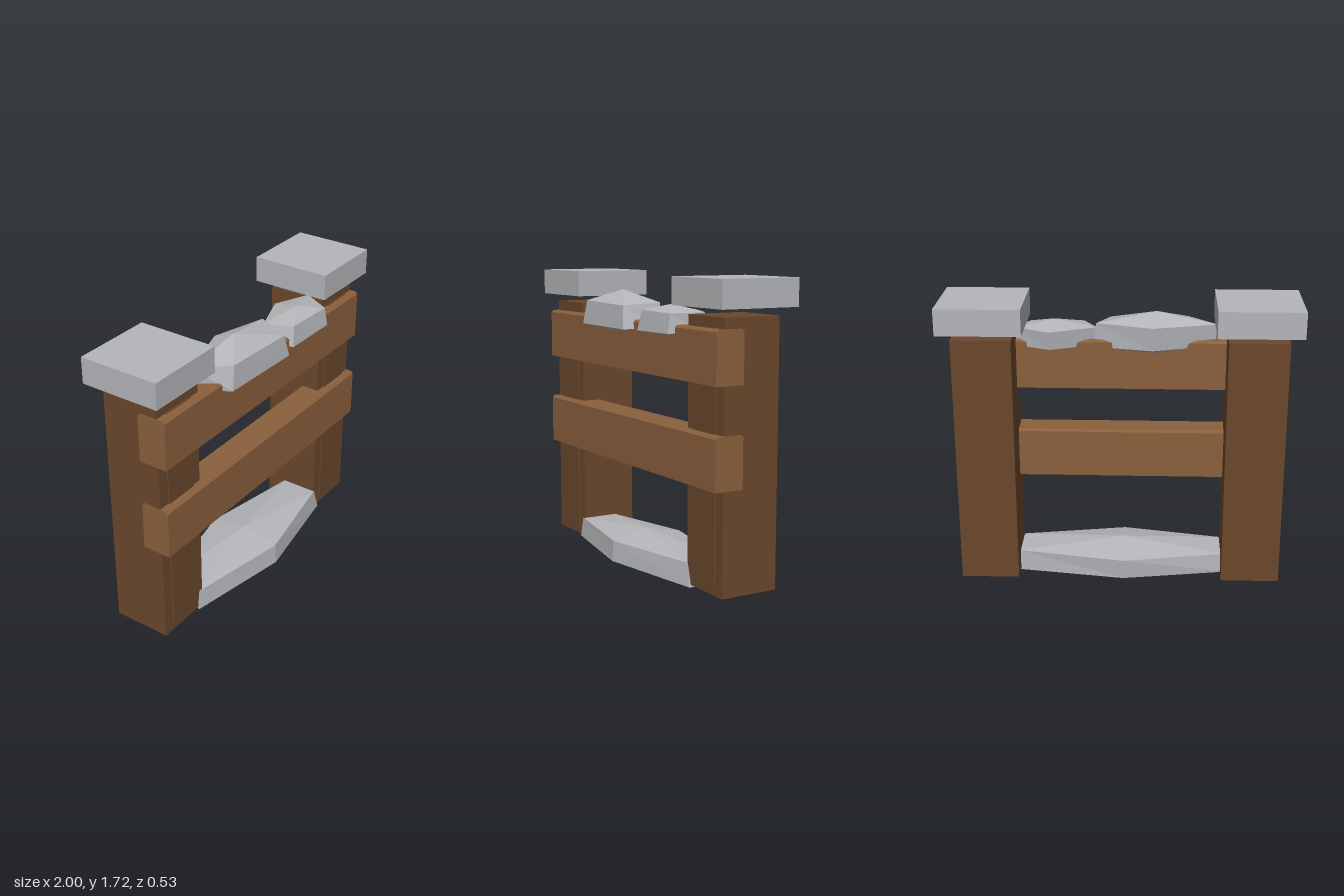
import * as THREE from 'three';

const mat = (name, color) => {
  const m = new THREE.MeshStandardMaterial({ color });
  m.name = name;
  return m;
};

export function createModel() {
  const group = new THREE.Group();
  const darkWood = mat('dark wood', 0x6a472c);
  const lightWood = mat('light wood', 0x8a603c);
  const stone = mat('grey stone', 0xb4b5b9);

  const add = (name, geometry, material) => {
    const mesh = new THREE.Mesh(geometry, material);
    mesh.name = name;
    group.add(mesh);
  };

  // Box given by its minimum and maximum corners
  const box = (name, a, b, material) => {
    const g = new THREE.BoxGeometry(b[0] - a[0], b[1] - a[1], b[2] - a[2]);
    g.translate((a[0] + b[0]) / 2, (a[1] + b[1]) / 2, (a[2] + b[2]) / 2);
    add(name, g, material);
  };

  // Posts with a raised front panel and a floating cap stone
  for (const [side, s] of [['left', 1], ['right', -1]]) {
    const pair = (name, x0, x1, y0, y1, z0, z1, m) =>
      box(side + name, [Math.min(s * x0, s * x1), y0, z0], [Math.max(s * x0, s * x1), y1, z1], m);
    pair('Post', 0.595, 0.93, 0.075, 1.53, -0.2, 0.14, darkWood);
    pair('PostPanel', 0.66, 0.865, 0.125, 1.475, 0.139, 0.149, darkWood);
    pair('CapStone', 0.528, 1, 1.575, 1.725, -0.268, 0.203, stone);
  }

  // Rails: plank section with bevelled upper edges, extruded along x
  const rail = (name, y0, y1) => {
    const z0 = 0.02, z1 = 0.19, c = 0.013;
    const shape = new THREE.Shape([
      [-z1, y0], [-z0, y0], [-z0, y1 - c], [-z0 - c, y1], [-z1 + c, y1], [-z1, y1 - c],
    ].map(([x, y]) => new THREE.Vector2(x, y)));
    const g = new THREE.ExtrudeGeometry(shape, { depth: 1.864, bevelEnabled: false });
    g.translate(0, 0, -0.932).rotateY(Math.PI / 2);
    add(name, g, lightWood);
  };
  rail('upperRail', 1.185, 1.472);
  rail('lowerRail', 0.642, 0.93);

  // Faceted stone: two rings of points (counter-clockwise from above) closed by two tips
  const rock = (name, topTip, upper, lower, bottomTip) => {
    const p = [];
    const n = upper.length;
    for (let i = 0; i < n; i++) {
      const j = (i + 1) % n;
      p.push(topTip, upper[i], upper[j]);
      p.push(upper[i], lower[i], lower[j], upper[i], lower[j], upper[j]);
      p.push(bottomTip, lower[j], lower[i]);
    }
    const g = new THREE.BufferGeometry();
    g.setAttribute('position', new THREE.Float32BufferAttribute(p.flat(), 3));
    g.computeVertexNormals();
    add(name, g, stone);
  };

  rock('baseStone', [-0.02, 0.24, 0.035],
    [[-0.02, 0.187, 0.255], [0.6, 0.19, 0.14], [0.6, 0.19, -0.08], [-0.02, 0.19, -0.195], [-0.62, 0.185, -0.075], [-0.62, 0.185, 0.14]],
    [[-0.02, 0.068, 0.265], [0.635, 0.062, 0.15], [0.635, 0.065, -0.08], [-0.02, 0.07, -0.185], [-0.635, 0.068, -0.08], [-0.635, 0.068, 0.15]],
    [-0.02, 0.003, 0.035]);

  rock('largeTopStone', [-0.2, 1.628, 0.085],
    [[-0.385, 1.56, 0.222], [0.065, 1.55, 0.235], [0.14, 1.567, 0.04], [-0.18, 1.565, -0.055], [-0.545, 1.56, 0.06]],
    [[-0.415, 1.423, 0.235], [0.095, 1.42, 0.25], [0.16, 1.425, 0.05], [-0.18, 1.43, -0.04], [-0.53, 1.43, 0.07]],
    [-0.19, 1.365, 0.09]);

  rock('smallTopStone', [0.38, 1.572, 0.11],
    [[0.215, 1.535, 0.2], [0.525, 1.53, 0.21], [0.608, 1.537, 0.045], [0.4, 1.535, -0.05], [0.135, 1.54, 0.05]],
    [[0.19, 1.42, 0.215], [0.53, 1.425, 0.227], [0.6, 1.43, 0.05], [0.4, 1.43, -0.035], [0.15, 1.43, 0.06]],
    [0.38, 1.385, 0.11]);

  return group;
}
